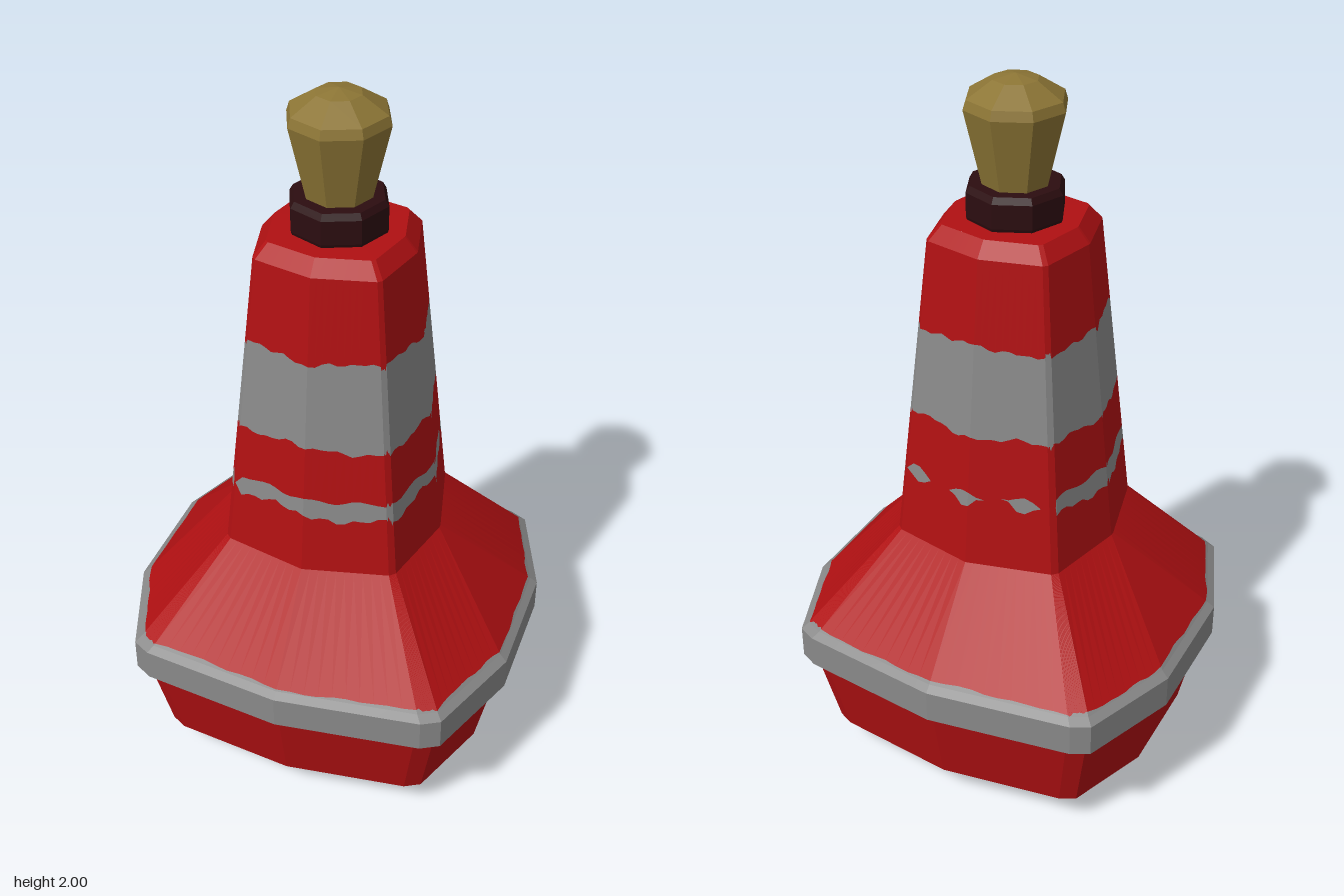
import * as THREE from 'three';

const mat = (name, color) => {
  const m = new THREE.MeshStandardMaterial({ color });
  m.name = name;
  return m;
};

// Half outlines [x, z] from front to back along +x: a rounded square hull and an octagonal tower
const HULL = [[0, 0.525], [0.4, 0.475], [0.45, 0.447], [0.555, 0.17], [0.555, -0.18], [0.45, -0.45], [0.4, -0.475], [0, -0.53]];
const TOWER = [[0, 1], [0.77, 0.82], [0.82, 0.77], [1, 0.02], [1, -0.02], [0.82, -0.77], [0.77, -0.82], [0, -1]];
const full = half => [...half, ...half.slice(1, -1).reverse().map(([x, z]) => [-x, z])];
const hull = full(HULL), tower = full(TOWER);

// Rings of the body: height, outline, scale
const RINGS = [
  [0.02, hull, 0.67], [0.1, hull, 0.85], [0.33, hull, 0.94], [0.352, hull, 1], [0.445, hull, 1],
  [0.462, hull, 0.965], [0.73, tower, 0.3], [1.59, tower, 0.208], [1.63, tower, 0.175],
];
const STEPS = 10, COUNT = hull.length * STEPS;

function ringPoint([y, outline, s], i) {
  const k = Math.floor(i / STEPS) % outline.length, t = (i % STEPS) / STEPS;
  const a = outline[k], b = outline[(k + 1) % outline.length];
  return new THREE.Vector3((a[0] + (b[0] - a[0]) * t) * s, y, (a[1] + (b[1] - a[1]) * t) * s);
}

// Point on the body surface at perimeter step i and height y
function surface(i, y) {
  let k = 0;
  while (k < RINGS.length - 2 && y > RINGS[k + 1][0]) k++;
  const t = (y - RINGS[k][0]) / (RINGS[k + 1][0] - RINGS[k][0]);
  return ringPoint(RINGS[k], i).lerp(ringPoint(RINGS[k + 1], i), t);
}

// Flat-shaded geometry from triangles, skipping empty ones
function fromTriangles(tris) {
  const pos = [], tri = new THREE.Triangle();
  for (const [a, b, c] of tris) {
    if (tri.set(a, b, c).getArea() < 1e-8) continue;
    for (const p of [a, b, c]) pos.push(p.x, p.y, p.z);
  }
  const g = new THREE.BufferGeometry();
  g.setAttribute('position', new THREE.Float32BufferAttribute(pos, 3));
  g.computeVertexNormals();
  return g;
}

// Surface band through a list of edges, each a height or a function of the perimeter step
function band(edges) {
  const tris = [];
  const at = (e, i) => surface(i, typeof e === 'number' ? e : e(i % COUNT));
  for (let j = 0; j < edges.length - 1; j++) {
    for (let i = 0; i < COUNT; i++) {
      const a = at(edges[j], i), b = at(edges[j], i + 1);
      const c = at(edges[j + 1], i + 1), d = at(edges[j + 1], i);
      tris.push([a, b, c], [a, c, d]);
    }
  }
  return fromTriangles(tris);
}

// Fan closing a ring at a centre height
function cap(ring, y, down) {
  const tris = [], centre = new THREE.Vector3(0, y, 0);
  for (let i = 0; i < COUNT; i += STEPS) {
    const a = ringPoint(ring, i), b = ringPoint(ring, i + STEPS);
    tris.push(down ? [centre, b, a] : [centre, a, b]);
  }
  return fromTriangles(tris);
}

// Ragged paint edge around a height
const ragged = (y, amount, seed) => i => {
  const w = (i / COUNT) * Math.PI * 2;
  return y + amount * (0.5 * Math.sin(9 * w + seed) + 0.3 * Math.sin(23 * w + seed * 2.3) + 0.3 * Math.sin(41 * w + seed * 3.1));
};

// Faceted turned part with eight sides
function turned(points) {
  const g = new THREE.LatheGeometry(points.map(p => new THREE.Vector2(...p)), 8).toNonIndexed();
  g.computeVertexNormals();
  return g;
}

export function createModel() {
  const group = new THREE.Group();
  const red = mat('red paint', 0xb01012);
  const grey = mat('grey paint', 0x898989);
  const dark = mat('dark collar', 0x2c0d10);
  const gold = mat('gold', 0x8c7535);
  const add = (name, geometry, material) => {
    const m = new THREE.Mesh(geometry, material);
    m.name = name;
    group.add(m);
  };

  // Paint edges
  const rimLow = ragged(0.336, 0.004, 1);
  const rimHigh = ragged(0.468, 0.005, 4);
  const wideLow = ragged(1.105, 0.013, 2);
  const wideHigh = ragged(1.355, 0.013, 5);
  const thinMid = ragged(0.925, 0.012, 3);
  const wobble = ragged(0.026, 0.009, 6);

  // Half height of the thin stripe: broken into spots on the back, gaps at two corners
  const thinHalf = i => {
    const p = ringPoint(RINGS[7], i).divideScalar(RINGS[7][2]);
    if (p.z < -0.77) return Math.max(0, 0.024 * Math.sin(p.x * 11 + 1));
    const gap = (p.x < -0.72 && p.x > -0.79 && p.z > 0) || (p.x > 0.8 && p.z < -0.6 && p.z > -0.72);
    return gap ? 0 : wobble(i);
  };
  const thinLow = i => thinMid(i) - thinHalf(i);
  const thinHigh = i => thinMid(i) + thinHalf(i);

  // Buoyant hull and tower
  add('hullBottom', cap(RINGS[0], 0.003, true), red);
  add('hullSides', band([0.02, 0.1, 0.33, rimLow]), red);
  add('rim', band([rimLow, 0.352, 0.445, 0.462, rimHigh]), grey);
  add('shoulder', band([rimHigh, 0.73, thinLow]), red);
  add('thinStripe', band([thinLow, thinHigh]), grey);
  add('towerMiddle', band([thinHigh, wideLow]), red);
  add('wideStripe', band([wideLow, wideHigh]), grey);
  add('towerTop', band([wideHigh, 1.59, 1.63]), red);
  add('towerCap', cap(RINGS[8], 1.635, false), red);

  // Collar and lamp
  add('collar', turned([[0.125, 1.62], [0.132, 1.64], [0.132, 1.705], [0.122, 1.722], [0, 1.722]]), dark);
  add('lamp', turned([[0.088, 1.715], [0.136, 1.92], [0.128, 1.945], [0.06, 1.988], [0, 2]]), gold);
  return group;
}
